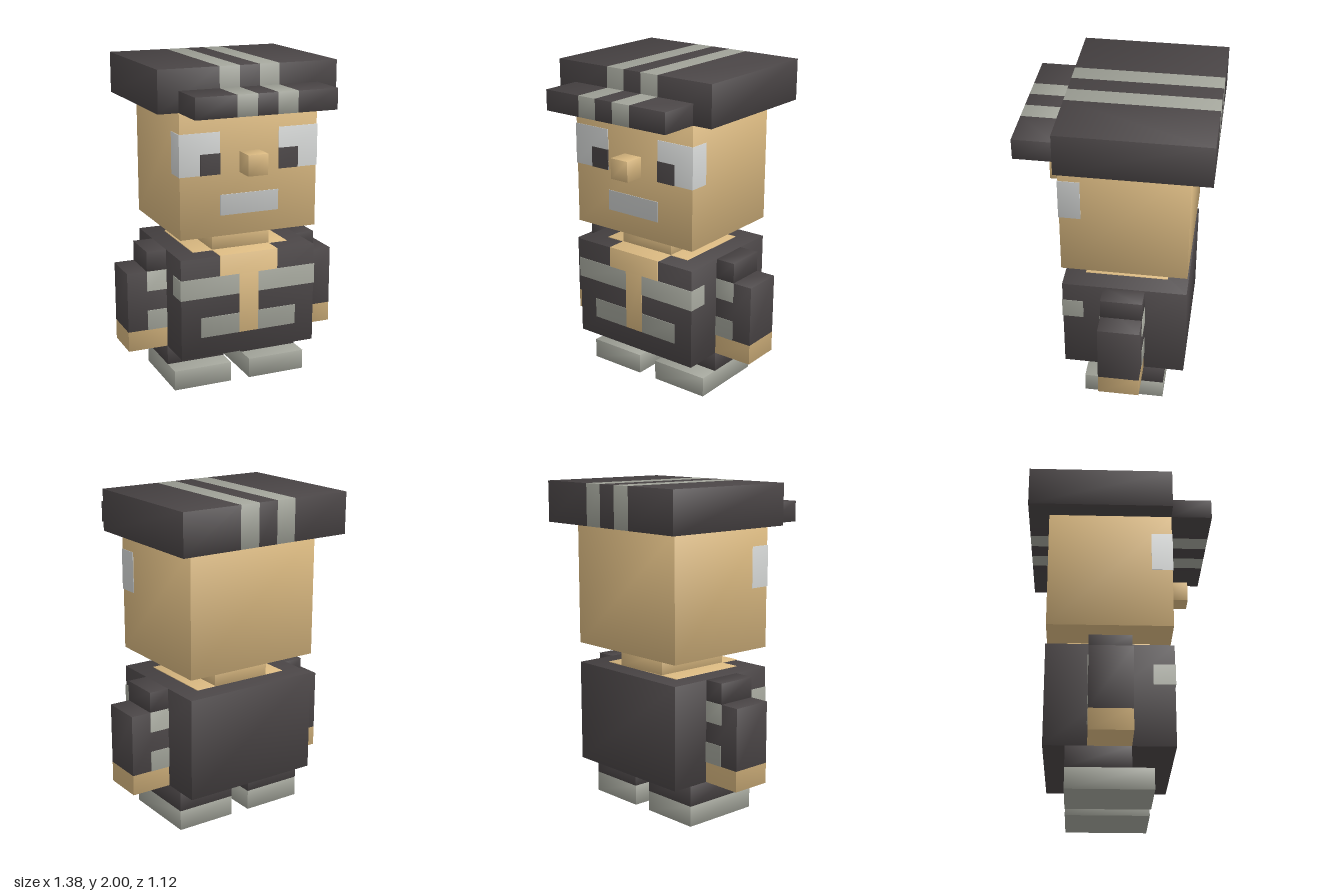
import * as THREE from 'three';

const mat = (name, color) => {
  const m = new THREE.MeshStandardMaterial({ color });
  m.name = name;
  return m;
};

export function createModel() {
  const dark = mat('charcoal', 0x4a4546);
  const grey = mat('warmGrey', 0xa2a49a);
  const skin = mat('skin', 0xdab981);
  const white = mat('offWhite', 0xcfd1d0);

  const root = new THREE.Group();
  root.name = 'blockFigure';

  // Bounds are [x0, x1, y0, y1, z0, z1]. Normals fan softly out from the host block,
  // so painted pieces share the pillowy shading of the block they sit on.
  function block(parent, name, material, b, host = b) {
    const g = new THREE.BoxGeometry(b[1] - b[0], b[3] - b[2], b[5] - b[4]);
    g.translate((b[0] + b[1]) / 2, (b[2] + b[3]) / 2, (b[4] + b[5]) / 2);
    const p = g.attributes.position, n = g.attributes.normal, v = new THREE.Vector3();
    const rel = (q, i) => (2 * q - host[i] - host[i + 1]) / (host[i + 1] - host[i]);
    for (let i = 0; i < p.count; i++) {
      v.set(rel(p.getX(i), 0), rel(p.getY(i), 2), rel(p.getZ(i), 4)).multiplyScalar(0.7);
      v.x += n.getX(i); v.y += n.getY(i); v.z += n.getZ(i);
      v.normalize();
      n.setXYZ(i, v.x, v.y, v.z);
    }
    const mesh = new THREE.Mesh(g, material);
    mesh.name = name;
    parent.add(mesh);
    return mesh;
  }
  const group = (name) => {
    const g = new THREE.Group();
    g.name = name;
    root.add(g);
    return g;
  };
  // Mirrors an x range to the chosen side
  const side = (s, b) => (s > 0 ? b : [-b[1], -b[0], ...b.slice(2)]);
  const sides = [[1, 'left'], [-1, 'right']];
  const lift = 0.004;

  // Cap: crown and brim, each cut into bands across x
  const cap = group('cap');
  const capParts = [
    ['crown', [-0.5625, 0.5625, 1.75, 2, -0.5625, 0.3125]],
    ['brim', [-0.4375, 0.4375, 1.75, 1.875, 0.3125, 0.5625]],
  ];
  for (const [name, h] of capParts) {
    const cuts = [h[0], -0.1875, -0.0625, 0.0625, 0.1875, h[1]];
    for (let i = 0; i < 5; i++) {
      const striped = i % 2 === 1;
      block(cap, name + (striped ? 'Stripe' : 'Panel'), striped ? grey : dark,
        [cuts[i], cuts[i + 1], ...h.slice(2)], h);
    }
  }

  // Head with face
  const head = group('head');
  const skull = [-0.4375, 0.4375, 1, 1.75, -0.4375, 0.3125];
  block(head, 'skull', skin, skull);
  block(head, 'nose', skin, [-0.0625, 0.0625, 1.375, 1.5, 0.3125, 0.4375]);
  block(head, 'mouth', white, [-0.1875, 0.1875, 1.125, 1.25, 0.3, 0.3125 + lift], skull);
  for (const [s, label] of sides) {
    block(head, label + 'EyeWhite', white,
      side(s, [0.1875, 0.4375 + lift, 1.375, 1.625, 0.1875, 0.3125 + lift]), skull);
    block(head, label + 'Pupil', dark,
      side(s, [0.1875, 0.3125, 1.375, 1.5, 0.305, 0.3125 + 2 * lift]), skull);
  }
  block(root, 'neck', skin, [-0.1875, 0.1875, 0.875, 1, -0.3125, 0.1875]);

  // Jacket with open collar, skin placket and reflective bands
  const torso = group('torso');
  const coat = [-0.4375, 0.4375, 0.25, 0.875, -0.4375, 0.3125];
  block(torso, 'jacket', dark, coat);
  block(torso, 'neckBase', skin, [-0.3125, 0.3125, 0.87, 0.875 + lift, -0.3125, 0.1875], coat);
  block(torso, 'collarOpening', skin, [-0.1875, 0.1875, 0.75, 0.875 + lift, 0.1875, 0.3125 + lift], coat);
  block(torso, 'frontOpening', skin, [-0.0625, 0.0625, 0.375, 0.75, 0.3, 0.3125 + lift], coat);
  for (const [s, label] of sides) {
    block(torso, label + 'ChestBand', grey,
      side(s, [0.0625, 0.4375 + lift, 0.625, 0.75, 0.1875, 0.3125 + lift]), coat);
    block(torso, label + 'WaistBand', grey,
      side(s, [0.0625, 0.3125, 0.375, 0.5, 0.3, 0.3125 + lift]), coat);
  }

  // Arms and legs
  for (const [s, label] of sides) {
    const arm = group(label + 'Arm');
    const sleeve = side(s, [0.4375, 0.6875, 0.25, 0.75, -0.1875, 0.0625]);
    block(arm, 'shoulder', dark, side(s, [0.4375, 0.5625, 0.75, 0.875, -0.1875, 0.0625]));
    block(arm, 'sleeve', dark, side(s, [0.4375, 0.6875, 0.375, 0.75, -0.1875, 0.0625]), sleeve);
    block(arm, 'hand', skin, side(s, [0.4375, 0.6875, 0.25, 0.375, -0.1875, 0.0625]), sleeve);
    for (const y of [0.375, 0.625]) {
      block(arm, 'sleeveBand', grey,
        side(s, [0.4375, 0.5625, y, y + 0.125, -0.1875 - lift, 0.0625 + lift]), sleeve);
    }
    const leg = group(label + 'Leg');
    block(leg, 'trouser', dark, side(s, [0.0625, 0.4375, 0.125, 0.25, -0.3125, 0.0625]));
    block(leg, 'shoe', grey, side(s, [0.0625, 0.4375, 0, 0.125, -0.3125, 0.1875]));
  }
  return root;
}
